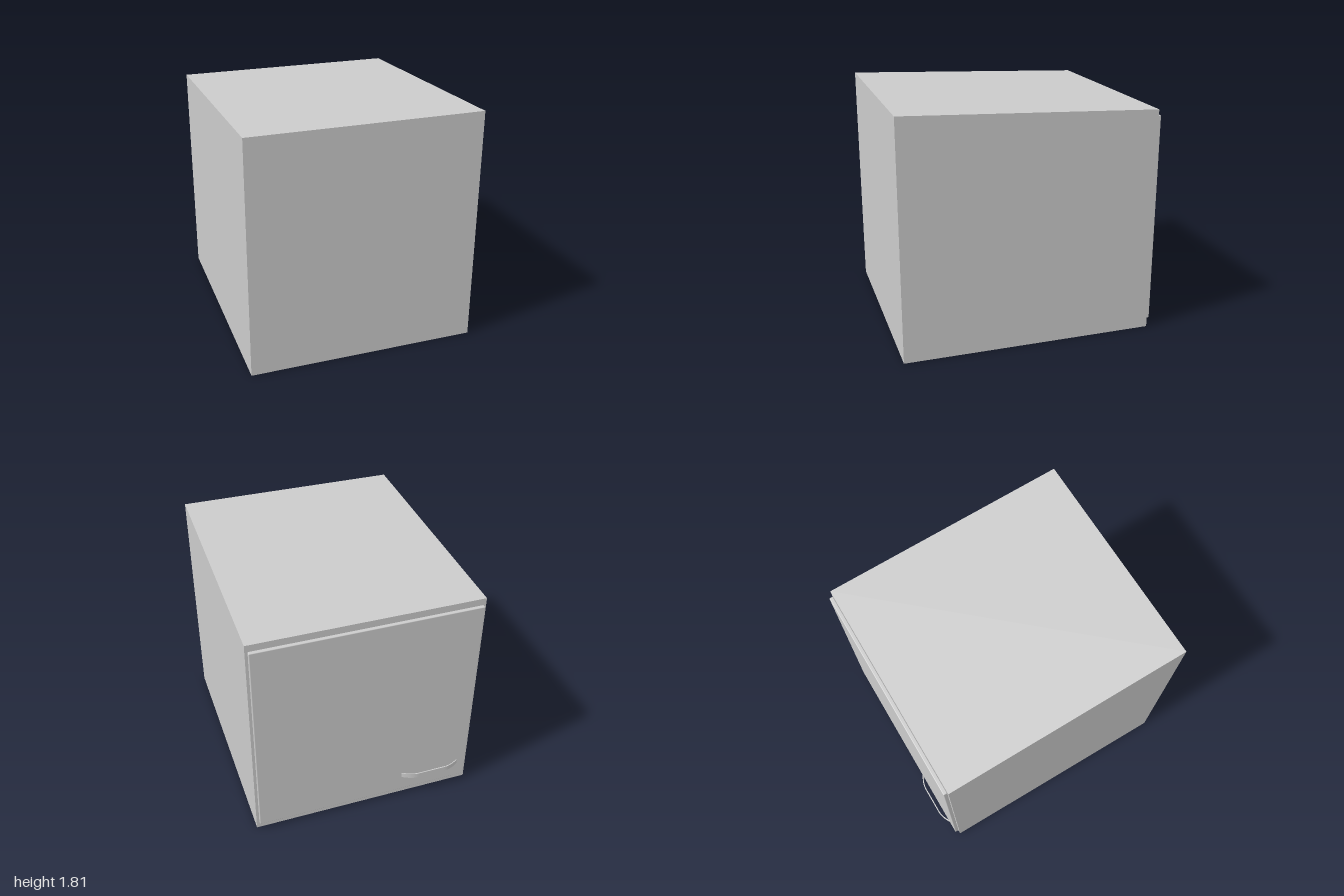
import * as THREE from 'three';
import { RoundedBoxGeometry } from 'three/addons/geometries/RoundedBoxGeometry.js';

const material = new THREE.MeshStandardMaterial({ color: 0xcccccc });

function addMesh(group, name, geometry) {
  const mesh = new THREE.Mesh(geometry, material);
  mesh.name = name;
  group.add(mesh);
  return mesh;
}

export function createModel() {
  const group = new THREE.Group();
  group.name = 'cabinet';

  // Cabinet body: side profile (z, y) with a sloping top, extruded across x
  const profile = new THREE.Shape([
    new THREE.Vector2(-0.925, 0),
    new THREE.Vector2(1, 0),
    new THREE.Vector2(1, 1.81),
    new THREE.Vector2(-0.925, 1.73),
  ]);
  const body = new THREE.ExtrudeGeometry(profile, { depth: 1.74, bevelEnabled: false });
  body.rotateY(-Math.PI / 2).translate(0.87, 0, 0);
  addMesh(group, 'body', body);

  // Door panel with softened edges
  const door = addMesh(group, 'door', new RoundedBoxGeometry(1.7, 1.62, 0.03, 3, 0.006));
  door.position.set(0, 0.87, -0.94);

  // Bowed strip handle: outline (x, z) extruded down y
  const t = 0.008;
  const bow = new THREE.Shape();
  bow.moveTo(-0.78, -0.954);
  bow.quadraticCurveTo(-0.71, -1, -0.65, -1);
  bow.lineTo(-0.43, -1);
  bow.quadraticCurveTo(-0.37, -1, -0.3, -0.954);
  bow.lineTo(-0.312, -0.954);
  bow.quadraticCurveTo(-0.375, -1 + t, -0.43, -1 + t);
  bow.lineTo(-0.65, -1 + t);
  bow.quadraticCurveTo(-0.705, -1 + t, -0.768, -0.954);
  bow.closePath();
  const handle = new THREE.ExtrudeGeometry(bow, { depth: 0.04, bevelEnabled: false, curveSegments: 12 });
  handle.rotateX(Math.PI / 2).translate(0, 0.23, 0);
  addMesh(group, 'handle', handle);

  return group;
}
